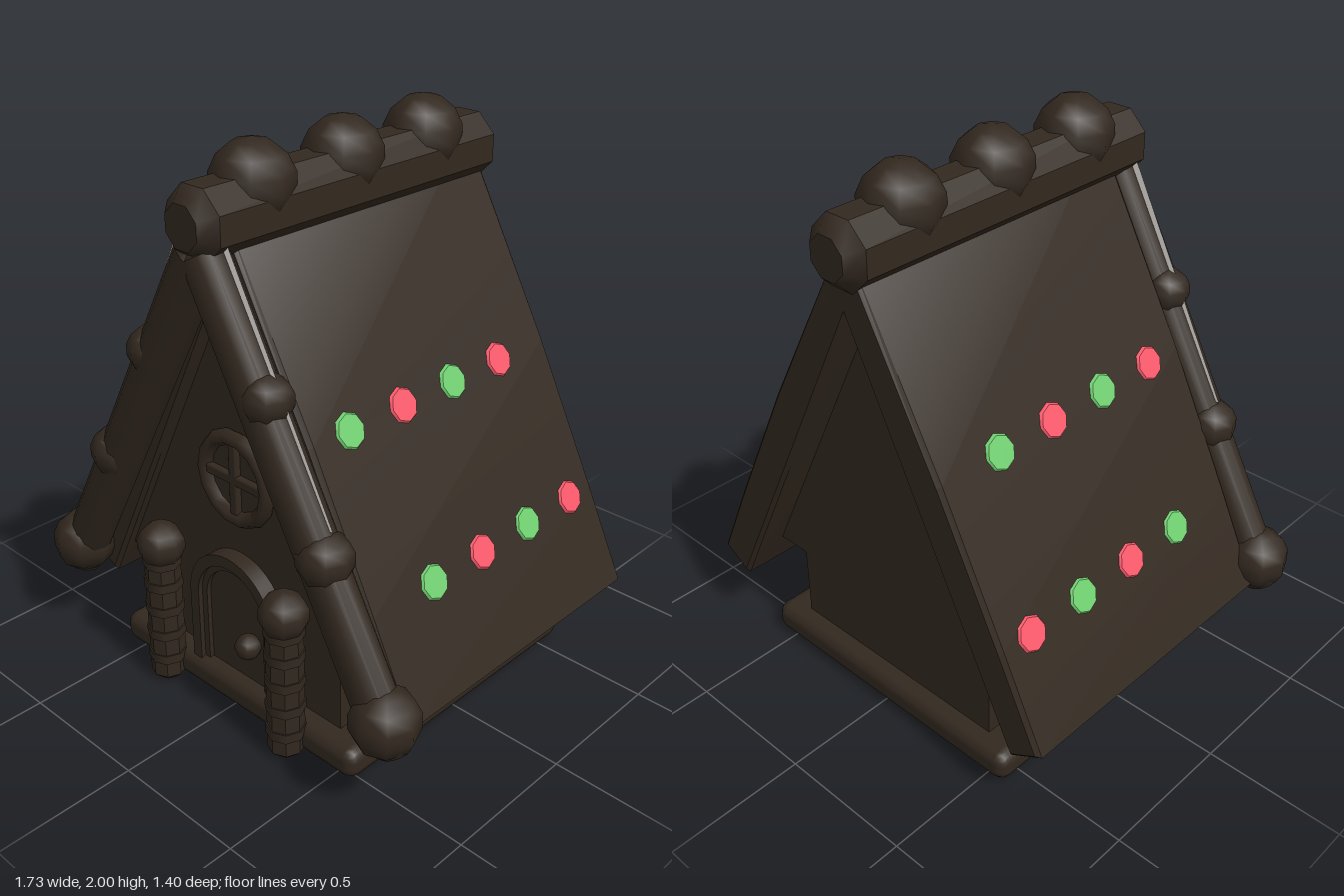
import * as THREE from 'three';
import { RoundedBoxGeometry } from 'three/addons/geometries/RoundedBoxGeometry.js';
import { toCreasedNormals } from 'three/addons/utils/BufferGeometryUtils.js';

const brown = new THREE.MeshStandardMaterial({ color: 0x32281f });
const green = new THREE.MeshStandardMaterial({ color: 0x6fce6f });
const red = new THREE.MeshStandardMaterial({ color: 0xf8586a });
const icing = new THREE.MeshStandardMaterial({ color: 0xf3eee8, side: THREE.DoubleSide });

// Horizontal run per unit of drop, for the roof surface and the front trim
const ROOF_RUN = 0.505;
const TRIM_RUN = 0.555;

export function createModel() {
  const model = new THREE.Group();
  model.name = 'cottage';

  const add = (name, geometry, x = 0, y = 0, z = 0, material = brown, parent = model) => {
    const mesh = new THREE.Mesh(geometry, material);
    mesh.name = name;
    mesh.position.set(x, y, z);
    parent.add(mesh);
    return mesh;
  };
  const ball = (name, r, x, y, z, parent = model) =>
    add(name, new THREE.SphereGeometry(r, 8, 7), x, y, z, brown, parent);
  // Round log with chamfered ends, axis along y
  const log = (r, length, sides, chamfer) => {
    const h = length / 2;
    const points = [[0, -h], [r * 0.6, -h], [r, -h + chamfer], [r, h - chamfer], [r * 0.6, h], [0, h]];
    return toCreasedNormals(
      new THREE.LatheGeometry(points.map(([a, b]) => new THREE.Vector2(a, b)), sides), 0.6);
  };
  // Extrusion from z = back to z = front, bevel included
  const extrude = (shape, back, front, bevel = 0) => toCreasedNormals(new THREE.ExtrudeGeometry(shape, {
    depth: front - back - 2 * bevel, curveSegments: 10, bevelEnabled: bevel > 0,
    bevelThickness: bevel, bevelSize: bevel, bevelOffset: -bevel, bevelSegments: 1,
  }).translate(0, 0, back + bevel), 0.6);
  // Closed outline from its +x half, listed from the centre line round to the centre line
  const mirrored = (half) => new THREE.Shape([
    ...half, ...half.filter(([x]) => x > 0).reverse().map(([x, y]) => [-x, y]),
  ].map(([x, y]) => new THREE.Vector2(x, y)));

  // Base slab
  add('base', new RoundedBoxGeometry(1.17, 0.115, 1.15, 2, 0.045), 0, 0.063, -0.025);

  // Walls and gables in one profile, wider above the eaves
  add('walls', extrude(mirrored([[0.46, 0.08], [0.46, 0.39], [0.62, 0.39], [0, 1.64]]), -0.53, 0.47));

  // Roof: both slopes as one slightly bowed chevron
  const roof = [[0, 1.835], [0.38, 1.15], [0.63, 0.655], [0.79, 0.325], [0.665, 0.25], [0, 1.58]];
  const outline = new THREE.Shape([
    ...roof.slice().reverse(), ...roof.slice(1, 5).map(([x, y]) => [-x, y]),
  ].map(([x, y]) => new THREE.Vector2(x, y)));
  add('roof', extrude(outline, -0.655, 0.515, 0.014));

  for (const side of [1, -1]) {
    const sideName = side > 0 ? 'left' : 'right';

    // Candy discs on the roof, alternating in colour
    for (const [x, y, startZ, phase] of [[0.38, 1.15, 0.345, side > 0 ? 0 : 1], [0.63, 0.655, 0.22, 0]]) {
      for (let i = 0; i < 4; i++) {
        const isGreen = (i + phase) % 2 === 0;
        const candy = add(isGreen ? 'greenCandy' : 'redCandy',
          new THREE.CylinderGeometry(0.055, 0.066, 0.016, 8),
          side * x, y, startZ - i * 0.246, isGreen ? green : red);
        candy.rotation.z = -side * Math.atan2(1, ROOF_RUN);
      }
    }

    // Front trim log, a little flattened front to back
    const trim = add(sideName + 'Trim', log(0.084, 1.64, 12, 0.03), side * 0.395, 0.997, 0.578);
    trim.rotation.z = side * Math.atan(TRIM_RUN);
    trim.scale.z = 0.88;

    // Balls along the trim
    for (const [x, y, r] of [[0.75, 0.385, 0.118], [0.5, 0.85, 0.095], [0.265, 1.3, 0.086]]) {
      ball(sideName + 'TrimBall', r, side * x, y, 0.58);
    }

    // Thin icing ribbon showing past the trim
    const ribbon = new THREE.Shape();
    ribbon.moveTo(0, 1.76);
    ribbon.lineTo(side * 0.098, 1.76);
    ribbon.lineTo(side * 0.53, 0.95);
    ribbon.lineTo(side * 0.45, 0.95);
    add(sideName + 'Icing', new THREE.ShapeGeometry(ribbon), 0, 0, 0.575, icing);

    // Porch column with bands and a ball on top
    const column = new THREE.Group();
    column.name = sideName + 'Column';
    column.position.set(side * 0.305, 0, 0.57);
    model.add(column);
    add('shaft', log(0.064, 0.52, 8, 0.025), 0, 0.26, 0, brown, column);
    for (const y of [0.1, 0.2, 0.3, 0.4, 0.49]) {
      add('band', new THREE.CylinderGeometry(0.069, 0.069, 0.035, 8), 0, y, 0, brown, column);
    }
    ball('columnBall', 0.086, 0, 0.55, 0, column);
  }

  // Ridge log and its balls
  const ridge = add('ridge', log(0.125, 1.36, 8, 0.05), 0, 1.785, -0.025);
  ridge.rotation.set(Math.PI / 2, Math.PI / 8, 0);
  for (const z of [0.37, -0.02, -0.41]) ball('ridgeBall', 0.138, 0, 1.862, z);

  // Arched door with a stepped frame, and knob
  const bottom = 0.085, spring = 0.395;
  const archBand = (outer, inner) => {
    const shape = new THREE.Shape();
    shape.moveTo(outer, bottom);
    shape.lineTo(outer, spring);
    shape.absarc(0, spring, outer, 0, Math.PI, false);
    shape.lineTo(-outer, bottom);
    if (inner > 0) {
      shape.lineTo(-inner, bottom);
      shape.lineTo(-inner, spring);
      shape.absarc(0, spring, inner, Math.PI, 0, true);
      shape.lineTo(inner, bottom);
    }
    return shape;
  };
  add('doorFrame', extrude(archBand(0.207, 0.165), 0.45, 0.53));
  add('doorFrameLip', extrude(archBand(0.168, 0.14), 0.45, 0.512));
  add('door', extrude(archBand(0.145, 0), 0.45, 0.495));
  ball('doorKnob', 0.047, 0.078, 0.285, 0.525);

  // Round window with crossed bars
  add('windowRing', new THREE.TorusGeometry(0.149, 0.029, 6, 14), 0, 0.89, 0.48);
  const pane = add('windowPane', new THREE.CylinderGeometry(0.14, 0.14, 0.03, 14), 0, 0.89, 0.462);
  pane.rotation.x = Math.PI / 2;
  for (const [w, h] of [[0.26, 0.036], [0.036, 0.26]]) {
    add('windowBar', new RoundedBoxGeometry(w, h, 0.03, 1, 0.008), 0, 0.89, 0.485);
  }

  return model;
}
